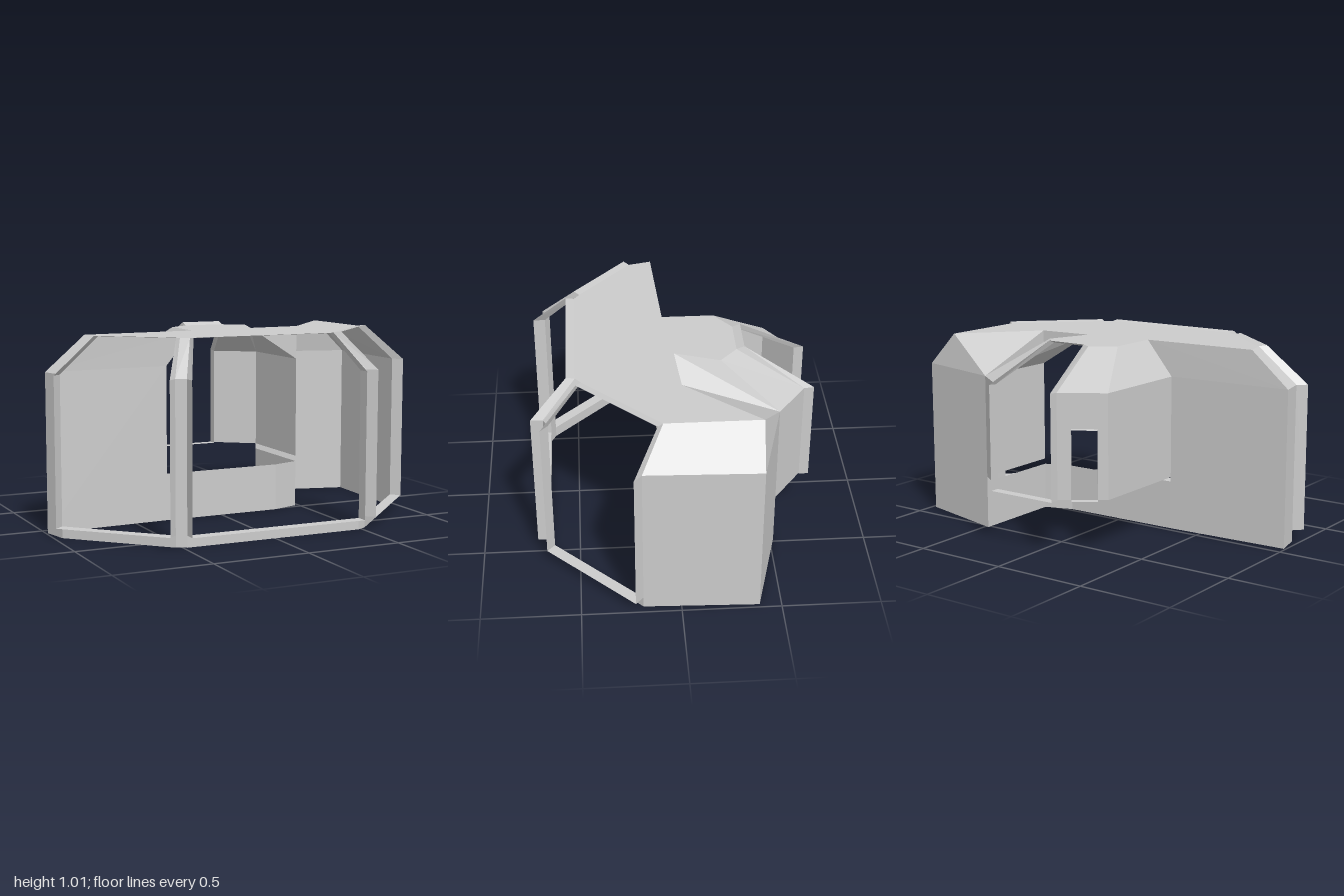
import * as THREE from 'three';

const FLOOR = 0.01, SILL = 0.07, EAVE = 0.83, TOP = 1.01, RAISED = 0.29;
const mat = new THREE.MeshStandardMaterial({ color: 0xcccccc, side: THREE.DoubleSide, flatShading: true });

export function createModel() {
  const model = new THREE.Group();

  const add = (name, geo) => {
    const mesh = new THREE.Mesh(geo, mat);
    mesh.name = name;
    model.add(mesh);
    return mesh;
  };

  // Convex polygons with [x, y, z] corners, joined into one surface
  const surface = (name, polys) => {
    const pos = [];
    for (const p of polys)
      for (let i = 1; i < p.length - 1; i++) pos.push(...p[0], ...p[i], ...p[i + 1]);
    const geo = new THREE.BufferGeometry();
    geo.setAttribute('position', new THREE.Float32BufferAttribute(pos, 3));
    geo.computeVertexNormals();
    return add(name, geo);
  };

  const at = ([x, z], y) => [x, y, z];
  // Face between plan line a-b at height y0 and plan line c-d at height y1
  const face = (a, b, y0, y1, c = a, d = b) => [at(a, y0), at(b, y0), at(d, y1), at(c, y1)];
  // Upright walls along a plan path
  const wall = (name, path, y0, y1) =>
    surface(name, path.slice(1).map((p, i) => face(path[i], p, y0, y1)));
  // Band joining two closed loops
  const band = (name, inner, outer) =>
    surface(name, inner.map((p, i) => {
      const j = (i + 1) % inner.length;
      return [p, inner[j], outer[j], outer[i]];
    }));

  // Plan points at wall level, and roof points above them
  const leftEnd = [-0.99, 0.06], leftCorner = [-0.96, 0.2];
  const rightCorner = [0.96, 0.19], rightBack = [0.98, -0.39], inner = [0.48, -0.52];
  const bayL = [-0.53, 0.63], bayR = [0.53, 0.63];
  const frontL = [-0.48, 0.655], frontR = [0.48, 0.655];
  const nookL = [-0.32, 0.03], nookLB = [-0.32, -0.53];
  const winL = [-0.11, -0.67], winR = [0.28, -0.67], nookR = [0.48, -0.03];

  const tEnd = [-0.78, 0.06], tLeft = [-0.75, 0.18], tRight = [0.8, 0.08], tBack = [0.8, -0.4];
  const tBayL = [-0.43, 0.46], tBayR = [0.43, 0.46], tFrontL = [-0.39, 0.49], tFrontR = [0.39, 0.49];
  const tNookL = [-0.17, 0.03], tNookLB = [-0.17, -0.24], tWinL = [-0.05, -0.33];
  const tWinR = [0.17, -0.33], tNookRB = [0.27, -0.24], tNookR = [0.19, -0.01];

  // Flat roof, outlined in plan
  const outline = [tEnd, tLeft, tBayL, tFrontL, tFrontR, tBayR, tRight, tBack, nookR,
    tNookR, tNookRB, tWinR, tWinL, tNookLB, tNookL];
  const roof = new THREE.ShapeGeometry(new THREE.Shape(outline.map(([x, z]) => new THREE.Vector2(x, -z))));
  add('flatRoof', roof.rotateX(-Math.PI / 2).translate(0, TOP, 0));

  // Outer walls
  wall('rightWalls', [rightCorner, rightBack, inner], FLOOR, EAVE);
  wall('leftEndWall', [leftEnd, leftCorner], FLOOR, EAVE);
  surface('leftBackWall', [
    face(leftEnd, nookL, FLOOR, EAVE),
    face(leftEnd, nookL, EAVE, TOP, tEnd, tNookL),
  ]);

  // Sloped roof edges of the main room
  surface('mainRoofSlopes', [
    face(leftEnd, leftCorner, EAVE, TOP, tEnd, tLeft),
    face(rightCorner, rightBack, EAVE, TOP, tRight, tBack),
    [at(rightBack, EAVE), at(inner, EAVE), at(tBack, TOP)],
    [at(inner, EAVE), at(nookR, TOP), at(tBack, TOP)],
  ]);

  // Back nook: raised walls, gable pieces and sloped roof
  wall('nookRightWalls', [nookR, inner, winR], RAISED, EAVE);
  wall('nookLeftWall', [nookL, nookLB], RAISED, EAVE);
  surface('nookGables', [
    [at(nookR, EAVE), at(nookR, TOP), at(tNookR, TOP)],
    [at(nookR, EAVE), at(inner, EAVE), at(nookR, TOP)],
  ]);
  surface('nookRoofSlopes', [
    face(nookL, nookLB, EAVE, TOP, tNookL, tNookLB),
    face(nookLB, winL, EAVE, TOP, tNookLB, tWinL),
    face(winR, inner, EAVE, TOP, tWinR, tNookRB),
    face(inner, nookR, EAVE, TOP, tNookRB, tNookR),
  ]);

  // Low wall across the opening of the nook
  wall('lowWall', [nookL, [0.33, 0.02], nookR, inner], FLOOR, 0.26);

  // Angled nook wall with a narrow opening
  const dx = winL[0] - nookLB[0], dz = winL[1] - nookLB[1], len = Math.hypot(dx, dz);
  const along = (t, out = 0) => [nookLB[0] + dx * t + (dz / len) * out, nookLB[1] + dz * t - (dx / len) * out];
  const t0 = 0.2, t1 = 0.72, slotTop = 0.65;
  surface('slotWall', [
    face(nookLB, along(t0), RAISED, EAVE),
    face(along(t1), winL, RAISED, EAVE),
    face(along(t0), along(t1), slotTop, EAVE),
  ]);
  const slot = out => [
    at(along(t0, out), RAISED), at(along(t0, out), slotTop),
    at(along(t1, out), slotTop), at(along(t1, out), RAISED),
  ];
  band('slotFrame', slot(0), slot(0.035));

  // Back window frame, which projects outwards and up over the slope
  const backLoop = (z, rise) => [
    at([winL[0], winL[1] - z], RAISED - 0.005), at([winR[0], winR[1] - z], RAISED - 0.005),
    at([winR[0], winR[1] - z], EAVE + rise / 3), at([tWinR[0], tWinR[1] - z * 0.8], TOP + rise),
    at([tWinL[0], tWinL[1] - z * 0.8], TOP + rise), at([winL[0], winL[1] - z], EAVE + rise / 3),
  ];
  band('backWindowFrame', backLoop(0, 0), backLoop(0.05, 0.015));

  // Base strip under the front windows
  wall('windowBase', [leftEnd, leftCorner, bayL, frontL, frontR, bayR, rightCorner], FLOOR, SILL);

  // Posts between the front windows
  for (const [name, a, b, c, d] of [
    ['leftPost', bayL, frontL, tBayL, tFrontL],
    ['rightPost', frontR, bayR, tFrontR, tBayR],
  ]) surface(name, [face(a, b, SILL, EAVE), face(a, b, EAVE, TOP, c, d)]);

  // Projecting frames around the three front windows
  for (const [name, a, b, c, d, n] of [
    ['leftWindowFrame', leftCorner, bayL, tLeft, tBayL, [-0.045, 0.04]],
    ['frontWindowFrame', frontL, frontR, tFrontL, tFrontR, [0, 0.063]],
    ['rightWindowFrame', bayR, rightCorner, tBayR, tRight, [0.045, 0.04]],
  ]) {
    const loop = k => {
      const p = ([x, z], y, s) => [x + n[0] * k * s, y, z + n[1] * k * s];
      return [p(a, SILL, 1), p(b, SILL, 1), p(b, EAVE, 1),
        p(d, TOP + 0.005 * k, 0.7), p(c, TOP + 0.005 * k, 0.7), p(a, EAVE, 1)];
    };
    band(name, loop(0), loop(1));
  }

  return model;
}
